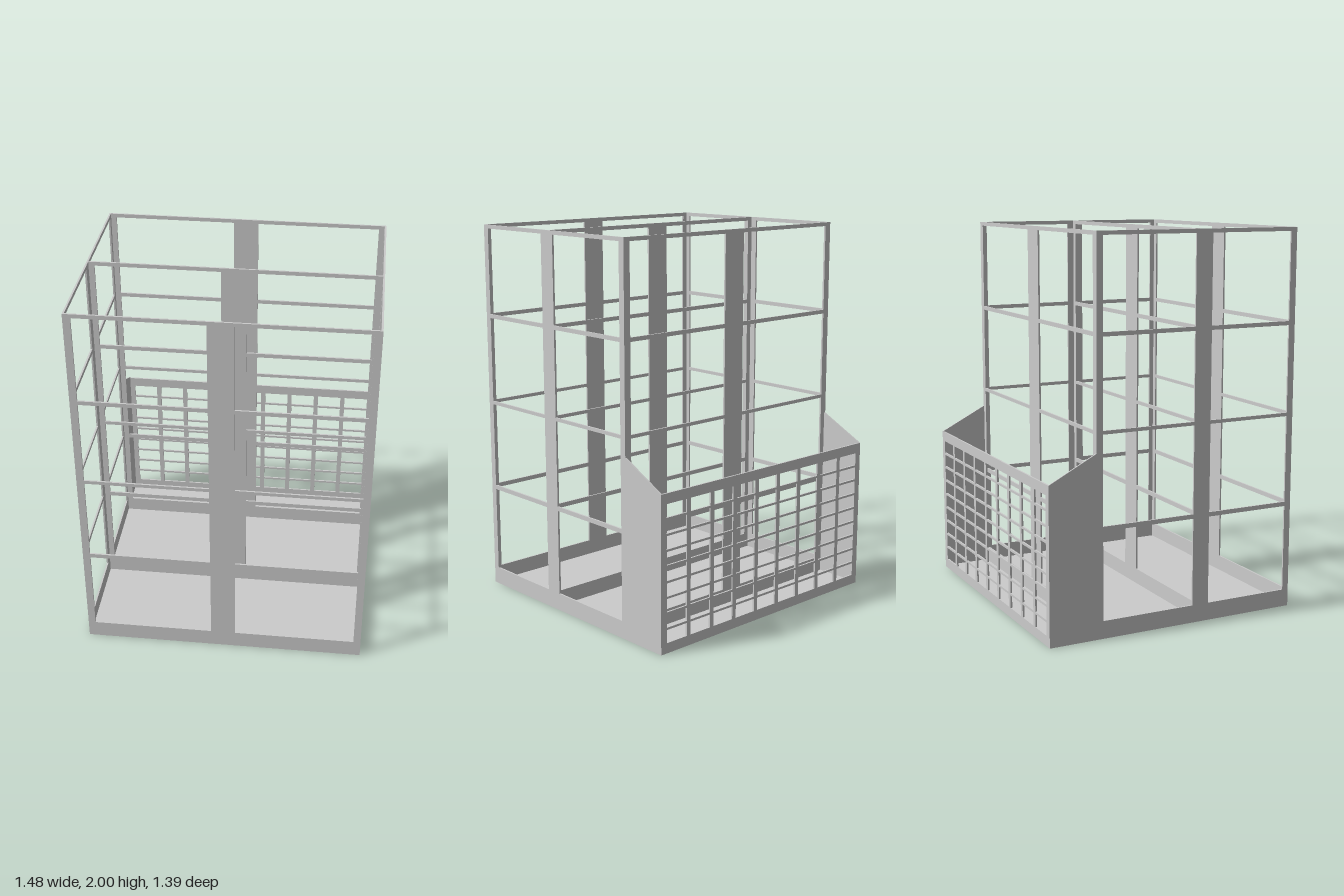
import * as THREE from 'three';

const W = 0.74, D = 0.695, T = 0.009; // half width, half depth, sheet thickness
const ROWS = [[0.092, 0.55], [0.573, 1.03], [1.048, 1.503], [1.524, 1.98]];

export function createModel() {
  const model = new THREE.Group();
  model.name = 'shelfCage';
  const material = new THREE.MeshStandardMaterial({ color: 0xcccccc });

  // Sheet cut from an outline with rectangular windows [x0, x1, y0, y1]
  function sheet(outline, windows) {
    const shape = new THREE.Shape(outline.map(([x, y]) => new THREE.Vector2(x, y)));
    for (const [x0, x1, y0, y1] of windows) {
      shape.holes.push(new THREE.Path([
        new THREE.Vector2(x0, y0), new THREE.Vector2(x0, y1),
        new THREE.Vector2(x1, y1), new THREE.Vector2(x1, y0),
      ]));
    }
    return new THREE.ExtrudeGeometry(shape, { depth: T, bevelEnabled: false });
  }

  function add(name, geometry, x, y, z) {
    const mesh = new THREE.Mesh(geometry, material);
    mesh.name = name;
    mesh.position.set(x, y, z);
    model.add(mesh);
  }

  const rect = (x, y0, y1) => [[-x, y0], [x, y0], [x, y1], [-x, y1]];
  const grid = (columns, rows) => columns.flatMap(([a, b]) => rows.map(([c, d]) => [a, b, c, d]));

  // Floor plate
  add('floor', new THREE.BoxGeometry(2 * W, T, 2 * D), 0, T / 2, 0);

  // Side walls, with a solid sloping extension toward the back
  const sideOutline = [[-D, T], [D, T], [D, 2], [-0.44, 2], [-0.44, 0.94], [-D, 0.81]];
  const side = sheet(sideOutline, grid([[-0.405, 0.105], [0.198, 0.66]], ROWS));
  side.rotateY(-Math.PI / 2);
  add('leftWall', side, W, 0, 0);
  add('rightWall', side, -W + T, 0, 0);

  // Front, middle and rear frames, each with a wide central post
  const inner = W - T;
  const frame = sheet(rect(inner, T, 2), grid([[-0.702, -0.066], [0.064, 0.702]], ROWS));
  add('frontFrame', frame, 0, 0, D - T);
  add('middleFrame', frame, 0, 0, 0.141);
  add('rearFrame', frame, 0, 0, -0.44);

  // Low lattice panel closing the back bin
  const columns = [], rows = [];
  for (let i = 0; i < 9; i++) {
    const x = (i - 4) * 0.159, y = 0.087 + i * 0.0795;
    columns.push([x - 0.067, x + 0.067]);
    rows.push([y - 0.034, y + 0.034]);
  }
  add('backLattice', sheet(rect(inner, T, 0.81), grid(columns, rows)), 0, 0, -D);

  return model;
}
